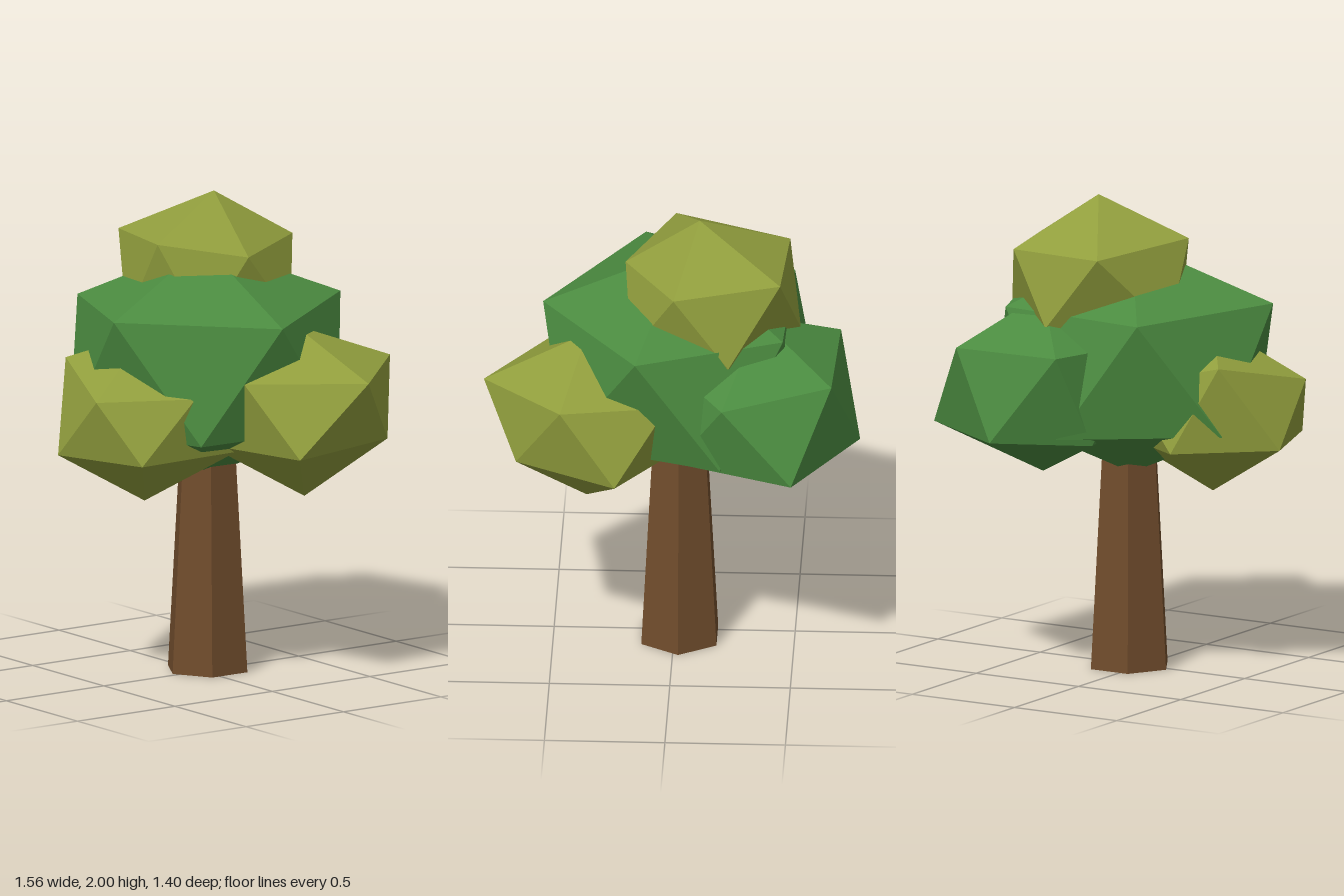
import * as THREE from 'three';
import { ConvexGeometry } from 'three/addons/geometries/ConvexGeometry.js';

// Twenty-sided clump: two poles (0 top, 1 bottom) and two staggered rings of five
// points (even steps upper, odd steps lower), with a few corners nudged off-regular.
function clumpGeometry({ radius, ringY, poleY, turn = 0, nudges }) {
  const points = [new THREE.Vector3(0, poleY, 0), new THREE.Vector3(0, -poleY, 0)];
  for (let i = 0; i < 10; i++) {
    const a = THREE.MathUtils.degToRad(turn + i * 36);
    points.push(new THREE.Vector3(radius * Math.cos(a), i % 2 ? -ringY : ringY, radius * Math.sin(a)));
  }
  for (const [index, x, y, z] of nudges) points[index].add(new THREE.Vector3(x, y, z));
  return new ConvexGeometry(points);
}

export function createModel() {
  const bark = new THREE.MeshStandardMaterial({ name: 'bark brown', color: 0x704c2c, flatShading: true });
  const green = new THREE.MeshStandardMaterial({ name: 'leaf green', color: 0x4b8b40, flatShading: true });
  const olive = new THREE.MeshStandardMaterial({ name: 'leaf olive', color: 0x919e3d, flatShading: true });

  const tree = new THREE.Group();
  tree.name = 'tree';

  // Tapered six-sided trunk, its top hidden in the foliage
  const trunk = new THREE.Mesh(new THREE.CylinderGeometry(0.122, 0.18, 1, 6), bark);
  trunk.name = 'trunk';
  trunk.position.set(-0.023, 0.5, -0.05);
  tree.add(trunk);

  // Foliage clumps
  const foliage = new THREE.Group();
  foliage.name = 'foliage';
  const clumps = [
    {
      name: 'mainClump', material: green, centre: [-0.03, 1.31, -0.035],
      radius: 0.585, ringY: 0.25, poleY: 0.49,
      nudges: [[2, -0.01, -0.02, 0.015], [3, -0.02, 0, 0], [4, -0.01, 0.01, 0.03], [6, 0.015, -0.01, -0.03],
        [8, 0.04, 0, 0], [10, -0.01, 0, -0.02]],
    },
    {
      name: 'crownClump', material: olive, centre: [-0.14, 1.64, -0.13],
      radius: 0.37, ringY: 0.155, poleY: 0.36, turn: 2,
      nudges: [[0, 0.03, 0, -0.015], [2, -0.03, -0.02, 0.02], [4, 0.04, 0.04, 0], [5, 0.08, 0, 0.03],
        [6, -0.03, 0.01, 0], [7, -0.02, 0.02, 0], [8, -0.02, 0.01, 0.01]],
    },
    {
      name: 'leftClump', material: olive, centre: [0.355, 1.165, -0.27],
      radius: 0.425, ringY: 0.15, poleY: 0.395,
      nudges: [[0, 0, -0.06, 0.05], [2, 0, 0, -0.02], [3, 0.01, 0, 0.03], [10, -0.035, 0.025, 0.035],
        [11, -0.06, 0.02, 0.03]],
    },
    {
      name: 'rightClump', material: green, centre: [-0.36, 1.235, -0.26],
      radius: 0.42, ringY: 0.185, poleY: 0.375,
      nudges: [[5, -0.03, -0.02, -0.06], [6, 0.01, 0, 0.02], [8, 0.03, -0.01, 0.015], [9, -0.02, 0, -0.04],
        [10, 0.01, -0.05, 0.01]],
    },
    {
      name: 'frontClump', material: olive, centre: [0.04, 1.125, 0.32],
      radius: 0.39, ringY: 0.13, poleY: 0.355, turn: 67,
      nudges: [[4, 0.015, 0.1, -0.055], [10, -0.05, 0, 0.02], [11, -0.02, 0, 0.04]],
    },
  ];
  for (const spec of clumps) {
    const clump = new THREE.Mesh(clumpGeometry(spec), spec.material);
    clump.name = spec.name;
    clump.position.set(...spec.centre);
    foliage.add(clump);
  }
  tree.add(foliage);
  return tree;
}
